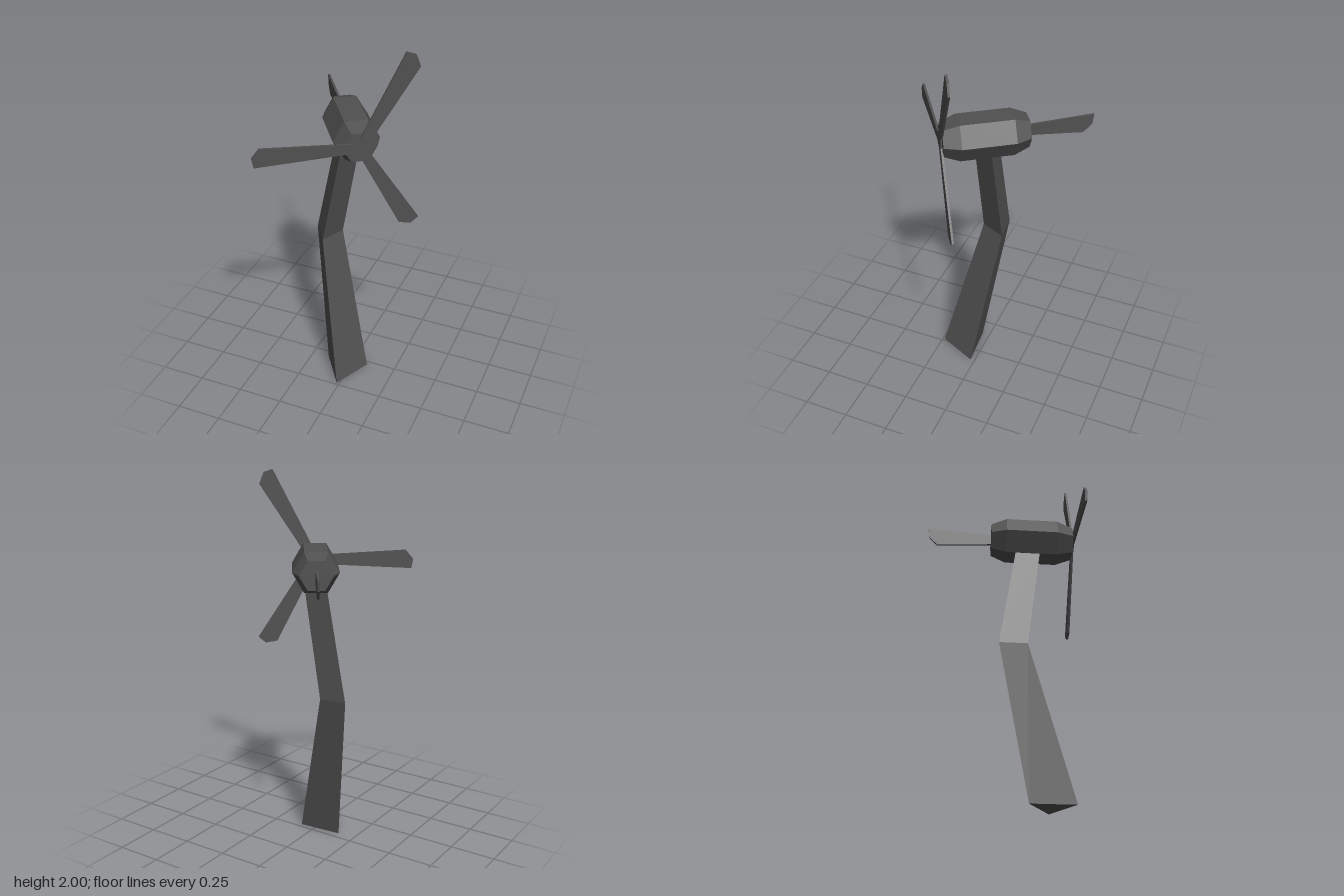
import * as THREE from 'three';

const material = new THREE.MeshStandardMaterial({ color: 0x505050, flatShading: true });

// Prism along y, one ring per level: [y, radius, centre x, centre z]; first corner at +x
function loft(sides, rings) {
  const n = rings.length - 1;
  const geo = new THREE.CylinderGeometry(1, 1, 1, sides, n, false, Math.PI / 2);
  const p = geo.attributes.position;
  for (let i = 0; i < p.count; i++) {
    const [y, r, cx = 0, cz = 0] = rings[Math.round((p.getY(i) + 0.5) * n)];
    p.setXYZ(i, p.getX(i) * r + cx, y, p.getZ(i) * r + cz);
  }
  geo.computeVertexNormals();
  return geo;
}

// Thin plate from an outline, centred on z = 0
function plate(points, thickness) {
  const shape = new THREE.Shape(points.map(([x, y]) => new THREE.Vector2(x, y)));
  return new THREE.ExtrudeGeometry(shape, { depth: thickness, bevelEnabled: false })
    .translate(0, 0, -thickness / 2);
}

export function createModel() {
  const model = new THREE.Group();
  model.name = 'windTurbine';

  // The whole machine is turned towards the wind
  const turbine = new THREE.Group();
  turbine.name = 'turbine';
  turbine.rotation.y = 0.607;
  model.add(turbine);

  const add = (parent, name, geo) => {
    const mesh = new THREE.Mesh(geo, material);
    mesh.name = name;
    parent.add(mesh);
    return mesh;
  };

  // Bent three-sided tower
  add(turbine, 'tower', loft(3, [
    [0, 0.137, -0.08, 0.069],
    [0.83, 0.086, -0.126, -0.134],
    [1.46, 0.076, -0.03, -0.048],
  ]));

  // Six-sided housing with tapered ends
  const axisX = -0.017, axisY = 1.518;
  const housing = loft(6, [[-0.254, 0.088], [-0.172, 0.121], [0.11, 0.121], [0.198, 0.088]]);
  add(turbine, 'housing', housing.rotateX(Math.PI / 2)).position.set(axisX, axisY, 0);

  // Rotor: hexagonal hub and three clipped blades
  const rotor = new THREE.Group();
  rotor.name = 'rotor';
  rotor.position.set(axisX, axisY, 0.201);
  turbine.add(rotor);
  const hub = loft(6, [[-0.006, 0.052], [0.006, 0.052]]);
  add(rotor, 'hub', hub.rotateX(Math.PI / 2)).rotation.z = Math.PI / 6;
  const bladeGeo = plate(
    [[0.045, -0.026], [0.497, -0.05], [0.538, 0], [0.529, 0.05], [0.045, 0.026]], 0.012);
  for (let i = 0; i < 3; i++) {
    add(rotor, 'blade', bladeGeo).rotation.z = Math.PI / 3 + i * Math.PI * 2 / 3;
  }

  // Upright tail vane behind the housing
  const vane = add(turbine, 'tailVane', plate(
    [[0.24, -0.029], [0.55, -0.05], [0.596, -0.005], [0.603, 0.05], [0.24, 0.029]], 0.012));
  vane.position.set(axisX, axisY, 0);
  vane.rotation.y = Math.PI / 2;

  return model;
}
